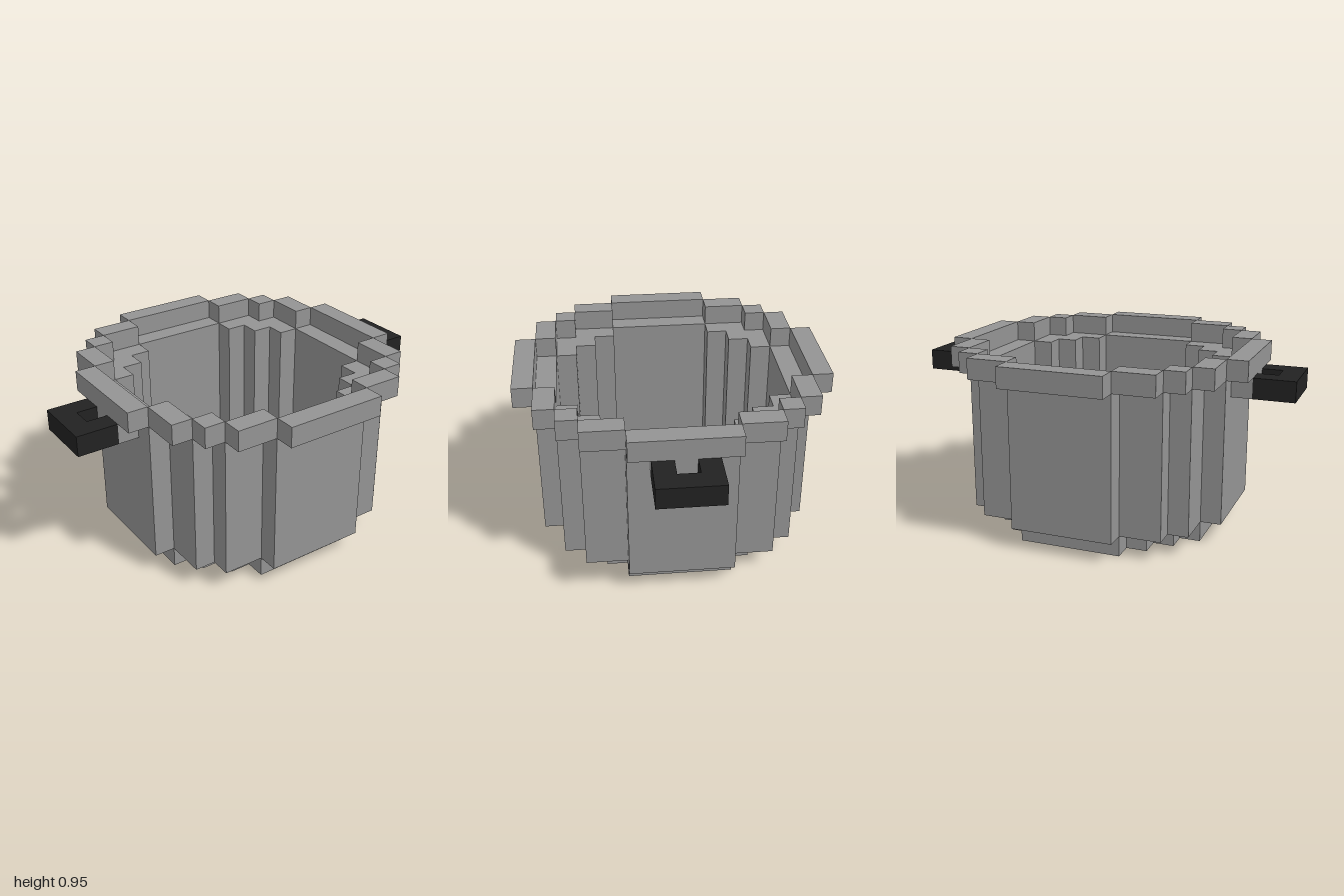
import * as THREE from 'three';
import { mergeGeometries } from 'three/addons/utils/BufferGeometryUtils.js';

const U = 2 / 19; // size of one block

const steel = new THREE.MeshStandardMaterial({ color: 0x949494 });
steel.name = 'steel grey';
const black = new THREE.MeshStandardMaterial({ color: 0x222222 });
black.name = 'handle black';

// Box from block coordinates
function block(x0, x1, y0, y1, z0, z1) {
  const g = new THREE.BoxGeometry((x1 - x0) * U, (y1 - y0) * U, (z1 - z0) * U);
  return g.translate((x0 + x1) / 2 * U, (y0 + y1) / 2 * U, (z0 + z1) / 2 * U);
}

function addPart(parent, name, geometry, material) {
  const mesh = new THREE.Mesh(geometry, material);
  mesh.name = name;
  parent.add(mesh);
}

// Stepped ring: four straight sides of outer radius r, plus mirrored corner blocks
function steppedRing(r, y0, y1, corners) {
  const parts = [];
  for (const s of [-1, 1]) {
    const a = Math.min(s * r, s * (r - 1)), b = a + 1;
    parts.push(block(-2.5, 2.5, y0, y1, a, b), block(a, b, y0, y1, -2.5, 2.5));
    for (const t of [-1, 1]) {
      for (const [x0, x1, z0, z1] of corners) {
        const xs = [s * x0, s * x1].sort((p, q) => p - q);
        const zs = [t * z0, t * z1].sort((p, q) => p - q);
        parts.push(block(...xs, y0, y1, ...zs));
      }
    }
  }
  return mergeGeometries(parts);
}

// Solid stepped disc, extruded from its outline
function steppedDisc(y0, y1) {
  const quarter = [[5.5, 2.5], [4.5, 2.5], [4.5, 3.5], [3.5, 3.5], [3.5, 4.5], [2.5, 4.5], [2.5, 5.5]];
  const points = [];
  for (let q = 0; q < 4; q++) {
    for (const [x, y] of quarter) {
      points.push(new THREE.Vector2(x * U, y * U).rotateAround(new THREE.Vector2(), q * Math.PI / 2));
    }
  }
  const g = new THREE.ExtrudeGeometry(new THREE.Shape(points), { depth: (y1 - y0) * U, bevelEnabled: false });
  return g.rotateX(-Math.PI / 2).translate(0, y0 * U, 0);
}

export function createModel() {
  const pot = new THREE.Group();
  pot.name = 'cookingPot';

  addPart(pot, 'base', steppedDisc(0, 1), steel);

  // Wall, with L-shaped steps at the corners
  addPart(pot, 'wall', steppedRing(6.5, 1, 8, [
    [4.5, 5.5, 2.5, 4.5],
    [3.5, 4.5, 3.5, 5.5],
    [2.5, 3.5, 4.5, 5.5],
  ]), steel);

  // Rim, one block wider than the wall
  addPart(pot, 'rim', steppedRing(7.5, 8, 9, [
    [5.5, 6.5, 2.5, 4.5],
    [4.5, 5.5, 4.5, 5.5],
    [2.5, 4.5, 5.5, 6.5],
  ]), steel);

  // Handles: steel bracket against the wall, black loop outside it
  for (const [side, s] of [['left', 1], ['right', -1]]) {
    const handle = new THREE.Group();
    handle.name = side + 'Handle';
    addPart(handle, 'bracket', block(6.5, 7.5, 7, 8, -1.5, 1.5), steel);
    addPart(handle, 'grip', mergeGeometries([
      block(8.5, 9.5, 7, 8, -1.5, 1.5),
      block(7.5, 8.5, 7, 8, 0.5, 1.5),
      block(7.5, 8.5, 7, 8, -1.5, -0.5),
    ]), black);
    if (s < 0) handle.rotation.y = Math.PI;
    pot.add(handle);
  }

  return pot;
}
